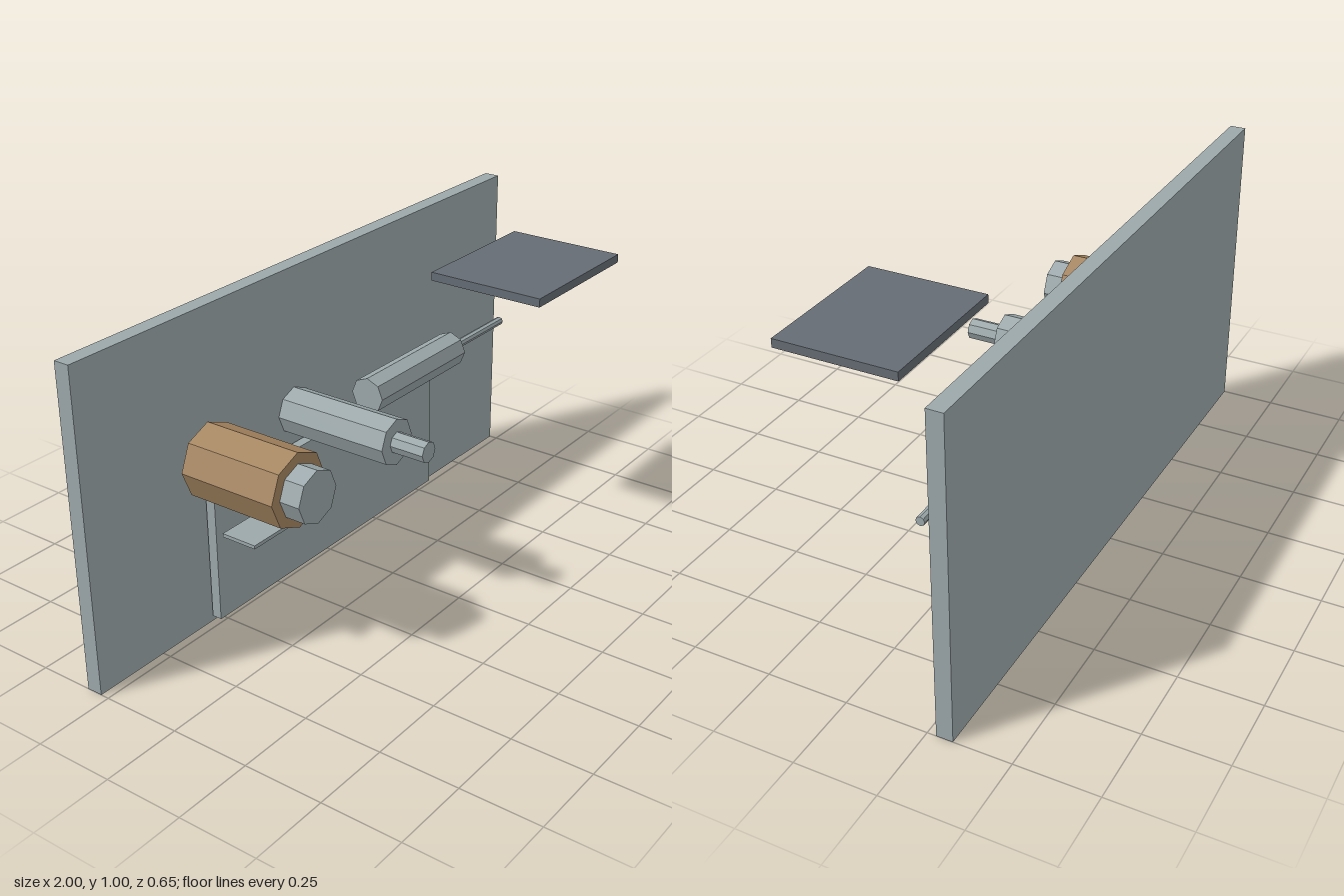
import * as THREE from 'three';

export function createModel() {
  const group = new THREE.Group();

  const material = (name, color) => {
    const m = new THREE.MeshStandardMaterial({ color, flatShading: true });
    m.name = name;
    return m;
  };
  const steel = material('steel grey', 0x9ca8ab);
  const copper = material('copper brown', 0xa58560);
  const slate = material('dark slate', 0x656c74);
  const blue = material('screen blue', 0x7092a8);

  // Box given by its [min, max] extents on each axis
  const box = (name, mat, [x0, x1], [y0, y1], [z0, z1]) => {
    const mesh = new THREE.Mesh(new THREE.BoxGeometry(x1 - x0, y1 - y0, z1 - z0), mat);
    mesh.name = name;
    mesh.position.set((x0 + x1) / 2, (y0 + y1) / 2, (z0 + z1) / 2);
    group.add(mesh);
  };

  // Eight-sided cylinder along 'x' or 'z', from one end to the other;
  // u is the sideways position (z for axis x, x for axis z)
  const shaftHeight = 0.544;
  const rod = (name, mat, axis, radius, u, from, to) => {
    const geo = new THREE.CylinderGeometry(radius, radius, to - from, 8);
    const mid = (from + to) / 2;
    const mesh = new THREE.Mesh(geo, mat);
    mesh.name = name;
    if (axis === 'z') {
      geo.rotateX(Math.PI / 2);
      mesh.position.set(u, shaftHeight, mid);
    } else {
      geo.rotateZ(Math.PI / 2);
      mesh.position.set(mid, shaftHeight, u);
    }
    group.add(mesh);
  };

  // Upright board and the panel in front of it
  box('backBoard', steel, [-1, 1], [0, 1], [-0.327, -0.277]);
  box('frontPanel', steel, [-0.545, 0.54], [0.025, 0.44], [-0.268, -0.236]);

  // Wound coil with its core
  rod('coil', copper, 'z', 0.116, -0.523, -0.265, 0.061);
  rod('coilCore', steel, 'z', 0.082, -0.523, -0.262, 0.127);
  box('smallPlate', steel, [-0.622, -0.424], [0.376, 0.387], [-0.138, -0.021]);

  // Cylinder pointing forward, with its shaft
  rod('forwardCylinder', steel, 'z', 0.074, -0.127, -0.278, 0.106);
  rod('forwardShaft', steel, 'z', 0.033, -0.127, 0.106, 0.219);

  // Cylinder pointing sideways, with its piston rod
  rod('sideCylinder', steel, 'x', 0.058, -0.156, 0.08, 0.54);
  rod('pistonRod', steel, 'x', 0.014, -0.156, 0.54, 0.842);

  // Raised slab with a plate on its underside
  box('slab', slate, [0.279, 0.756], [0.884, 0.911], [-0.056, 0.327]);
  box('undersidePlate', blue, [0.314, 0.724], [0.873, 0.884], [-0.013, 0.287]);

  return group;
}
